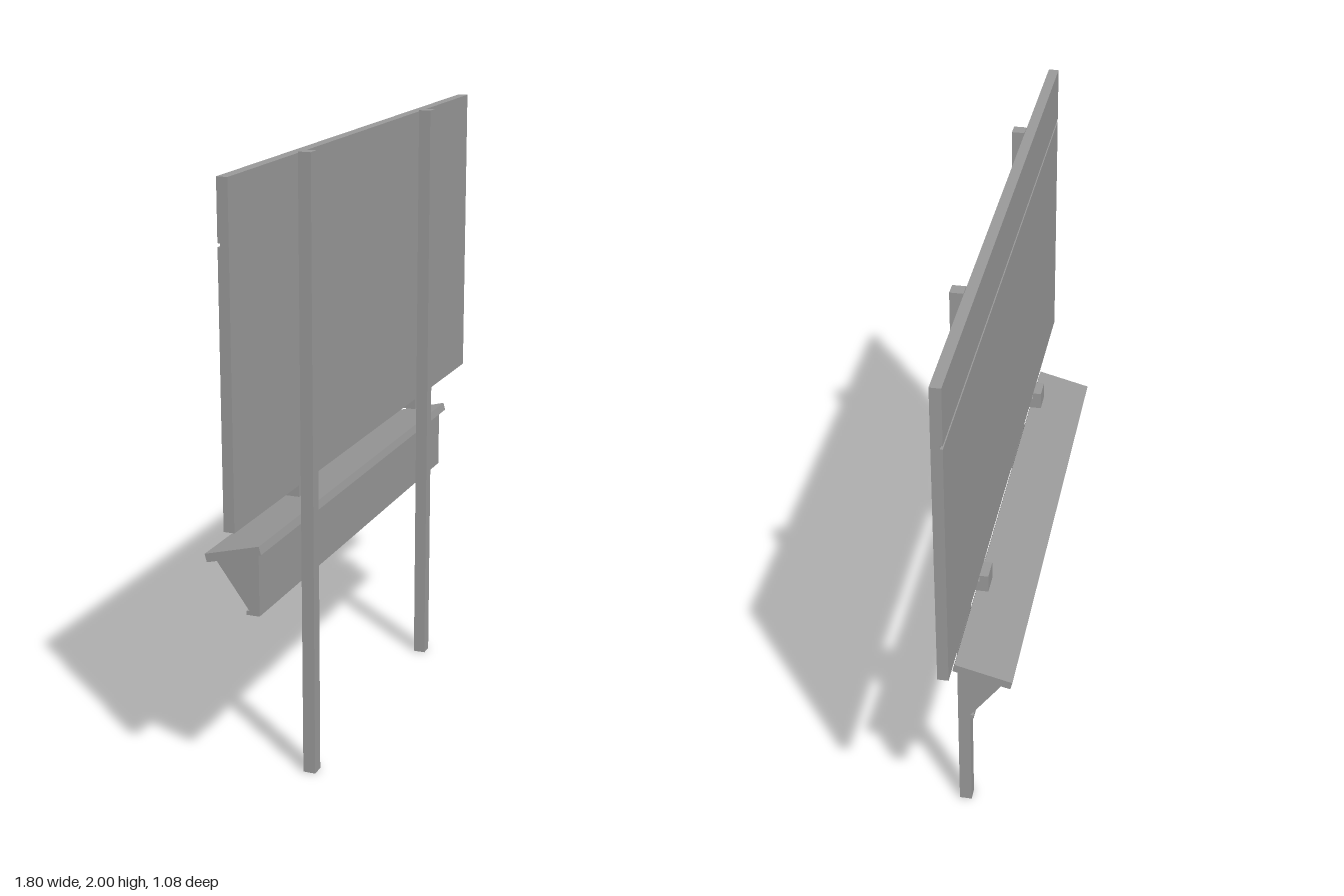
import * as THREE from 'three';

const material = new THREE.MeshStandardMaterial({ color: 0x999999, flatShading: true });

// Extrudes a (z, y) side profile along x, centred on x = 0
function bar(name, profile, length, x = 0) {
  const shape = new THREE.Shape(profile.map(([z, y]) => new THREE.Vector2(z, y)));
  const geometry = new THREE.ExtrudeGeometry(shape, { depth: length, bevelEnabled: false });
  geometry.translate(0, 0, -length / 2).rotateY(-Math.PI / 2);
  const mesh = new THREE.Mesh(geometry, material);
  mesh.name = name;
  mesh.position.x = x;
  return mesh;
}

export function createModel() {
  const model = new THREE.Group();
  model.name = 'signWithLeaningBench';

  // Everything is built square, then turned about the vertical
  const sign = new THREE.Group();
  sign.name = 'sign';
  const angle = THREE.MathUtils.degToRad(29.36);
  sign.rotation.y = angle;
  sign.position.set(-0.011 * Math.cos(angle), 0, 0.011 * Math.sin(angle));
  model.add(sign);

  // Board with a groove across its back
  sign.add(bar('board', [
    [0, 0.977], [0.034, 0.977], [0.034, 1.996], [0, 1.996],
    [0, 1.813], [0.008, 1.813], [0.008, 1.802], [0, 1.802],
  ], 2.045));

  for (const [side, x] of [['left', 0.521], ['right', -0.523]]) {
    // Square post in front of the board
    sign.add(bar(side + 'Post', [[0.034, 0], [0.075, 0], [0.075, 2], [0.034, 2]], 0.043, x));
    // Clip that holds the lower edge of the board
    sign.add(bar(side + 'Clip', [
      [-0.033, 0.94], [0.034, 0.94], [0.034, 0.977], [-0.005, 0.977], [-0.005, 1.0], [-0.033, 1.0],
    ], 0.071, x));
  }

  // Sloping seat slab, its trapezoid body and the narrow base strip
  sign.add(bar('seatSlab', [[-0.15, 0.797], [0.029, 0.844], [0.022, 0.87], [-0.157, 0.823]], 1.668));
  sign.add(bar('seatBody', [[-0.02, 0.65], [0.012, 0.65], [0.012, 0.839], [-0.13, 0.802]], 1.628));
  sign.add(bar('seatBase', [[-0.031, 0.638], [0.012, 0.638], [0.012, 0.651], [-0.031, 0.651]], 1.628));

  return model;
}
